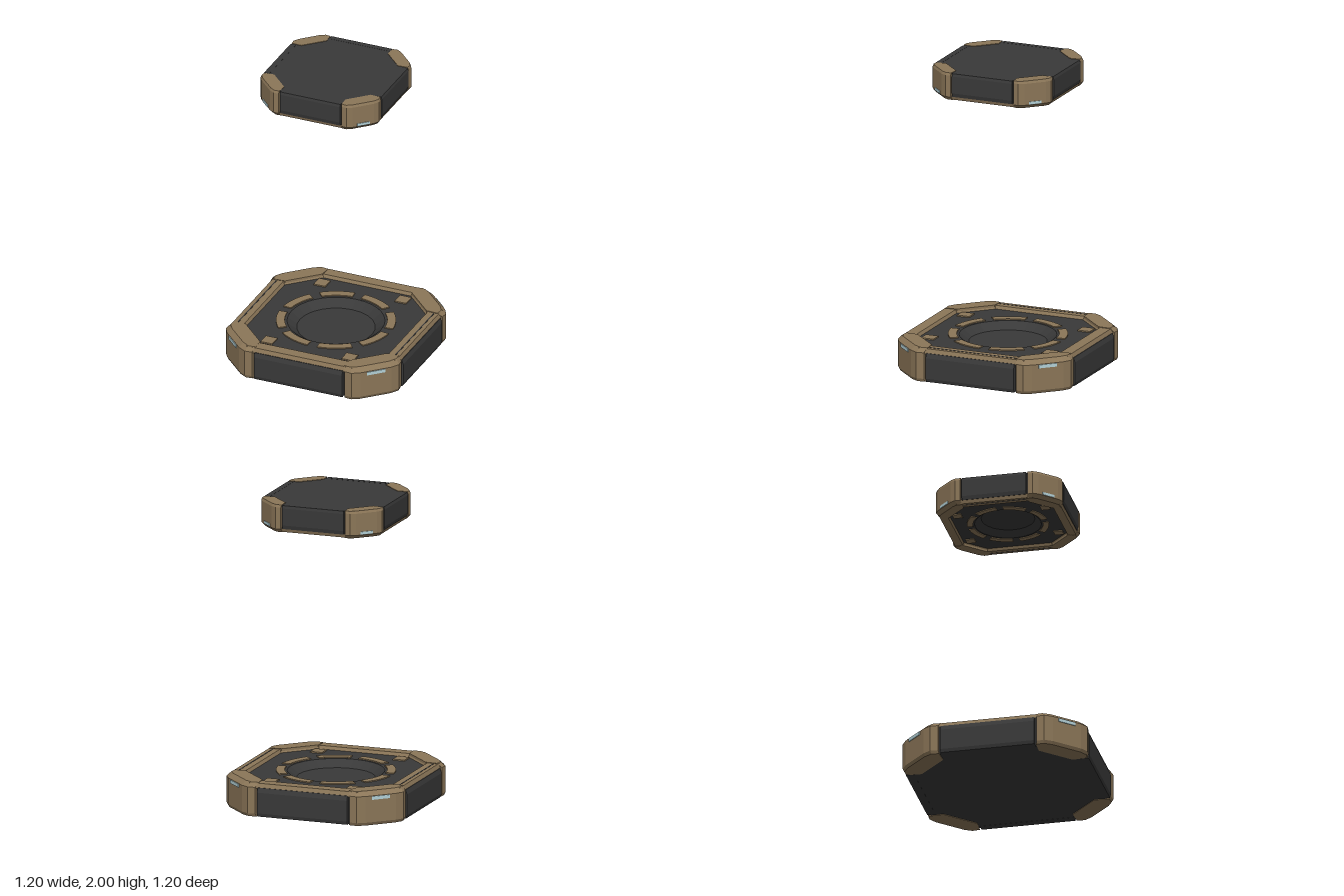
import * as THREE from 'three';

const dark = new THREE.MeshStandardMaterial({ color: 0x393939 });
dark.name = 'charcoal';
const tan = new THREE.MeshStandardMaterial({ color: 0x8b7658 });
tan.name = 'bronze';
const glow = new THREE.MeshStandardMaterial({ color: 0xb4d2d8 });
glow.name = 'paleBlue';

function add(group, name, geometry, material) {
  const mesh = new THREE.Mesh(geometry, material);
  mesh.name = name;
  group.add(mesh);
  return mesh;
}

// Joins loops of [x, z] points at given heights into a faceted solid
function loft(sections, caps = true) {
  const pos = [];
  const put = (s, i) => pos.push(s.loop[i][0], s.y, s.loop[i][1]);
  const n = sections[0].loop.length;
  for (let k = 0; k < sections.length - 1; k++) {
    const a = sections[k], b = sections[k + 1];
    for (let i = 0; i < n; i++) {
      const j = (i + 1) % n;
      put(a, i); put(a, j); put(b, j);
      put(a, i); put(b, j); put(b, i);
    }
  }
  if (caps) {
    const bottom = sections[0], top = sections[sections.length - 1];
    for (let i = 1; i < n - 1; i++) {
      put(top, 0); put(top, i); put(top, i + 1);
      put(bottom, 0); put(bottom, i + 1); put(bottom, i);
    }
  }
  const g = new THREE.BufferGeometry();
  g.setAttribute('position', new THREE.Float32BufferAttribute(pos, 3));
  g.computeVertexNormals();
  return g;
}

// Octagon with half width h and half flat side c
const octagon = (h, c) => [[c, h], [h, c], [h, -c], [c, -h], [-c, -h], [-h, -c], [-h, c], [-c, h]];

// Extrudes a plan shape upward from height y
function slab(shape, y, depth) {
  const g = new THREE.ExtrudeGeometry(shape, { depth, bevelEnabled: false, curveSegments: 24 });
  return g.rotateX(-Math.PI / 2).translate(0, y, 0);
}

// Corner block plan, with its outer edge scaled by s
function cornerLoop(s) {
  const outer = [[0.32, 0.595], [0.37, 0.6], [0.42, 0.57], [0.57, 0.42], [0.6, 0.37], [0.595, 0.32]];
  return [...outer.map(([x, z]) => [x * s, z * s]), [0.49, 0.31], [0.31, 0.49]];
}

function createPad(name) {
  const pad = new THREE.Group();
  pad.name = name;

  // Core with a round opening in its upper layer
  add(pad, 'coreBase', loft([
    { y: 0.004, loop: octagon(0.57, 0.37) },
    { y: 0.14, loop: octagon(0.57, 0.37) },
  ]), dark);
  const deck = new THREE.Shape(octagon(0.57, 0.37).map(([x, z]) => new THREE.Vector2(x, z)));
  const opening = new THREE.Path();
  opening.absarc(0, 0, 0.31, 0, Math.PI * 2, true);
  deck.holes.push(opening);
  add(pad, 'deck', slab(deck, 0.14, 0.055), dark);

  // Shallow dish in the opening
  const dish = new THREE.LatheGeometry(
    [[0.312, 0.195], [0.25, 0.15], [0, 0.145]].map(([x, y]) => new THREE.Vector2(x, y)), 24).toNonIndexed();
  dish.computeVertexNormals();
  add(pad, 'dish', dish, dark);

  // Raised octagonal rim
  add(pad, 'rim', loft([
    { y: 0.185, loop: octagon(0.588, 0.37) },
    { y: 0.216, loop: octagon(0.575, 0.365) },
    { y: 0.216, loop: octagon(0.5, 0.31) },
    { y: 0.19, loop: octagon(0.487, 0.3) },
  ], false), tan);

  // Broken ring around the dish
  for (let i = 0; i < 8; i++) {
    const a = i * Math.PI / 4 + 0.09, b = a + Math.PI / 4 - 0.18;
    const arc = new THREE.Shape();
    arc.absarc(0, 0, 0.38, a, b, false);
    arc.absarc(0, 0, 0.325, b, a, true);
    add(pad, 'ringSegment', slab(arc, 0.194, 0.008), tan);
  }

  // Corner blocks, lights and deck studs
  for (let i = 0; i < 4; i++) {
    const corner = new THREE.Group();
    corner.name = 'corner';
    corner.rotation.y = i * Math.PI / 2;
    add(corner, 'cornerBlock', loft([
      { y: 0, loop: cornerLoop(0.985) },
      { y: 0.02, loop: cornerLoop(1) },
      { y: 0.192, loop: cornerLoop(1) },
      { y: 0.22, loop: cornerLoop(0.955) },
    ]), tan);
    const light = add(corner, 'cornerLight', new THREE.BoxGeometry(0.125, 0.022, 0.008), glow);
    light.position.set(0.496, 0.178, 0.496);
    light.rotation.y = Math.PI / 4;
    pad.add(corner);

    const stud = add(pad, 'deckStud', new THREE.BoxGeometry(0.08, 0.01, 0.085), tan);
    stud.position.set(i % 2 ? 0.28 : -0.28, 0.198, i < 2 ? 0.418 : -0.418);
  }

  // Side panels
  const panelLoop = (z) => [[-0.305, z], [0.305, z], [0.305, 0.54], [-0.305, 0.54]];
  for (let i = 0; i < 4; i++) {
    const panel = add(pad, 'sidePanel', loft([
      { y: 0.003, loop: panelLoop(0.593) },
      { y: 0.025, loop: panelLoop(0.6) },
      { y: 0.16, loop: panelLoop(0.6) },
      { y: 0.19, loop: panelLoop(0.59) },
    ]), dark);
    panel.rotation.y = i * Math.PI / 2;
  }

  // Grooves along the left and right rim
  for (const s of [-1, 1]) {
    const groove = add(pad, 'rimGroove', new THREE.BoxGeometry(0.008, 0.004, 0.6), dark);
    groove.position.set(s * 0.545, 0.2155, 0);
  }
  return pad;
}

export function createModel() {
  const model = new THREE.Group();
  model.name = 'floorAndCeilingPads';
  model.add(createPad('floorPad'));

  // Smaller pad hangs upside down above
  const ceiling = createPad('ceilingPad');
  ceiling.scale.set(0.683, 0.82, 0.683);
  ceiling.rotation.x = Math.PI;
  ceiling.position.y = 2;
  model.add(ceiling);
  return model;
}
